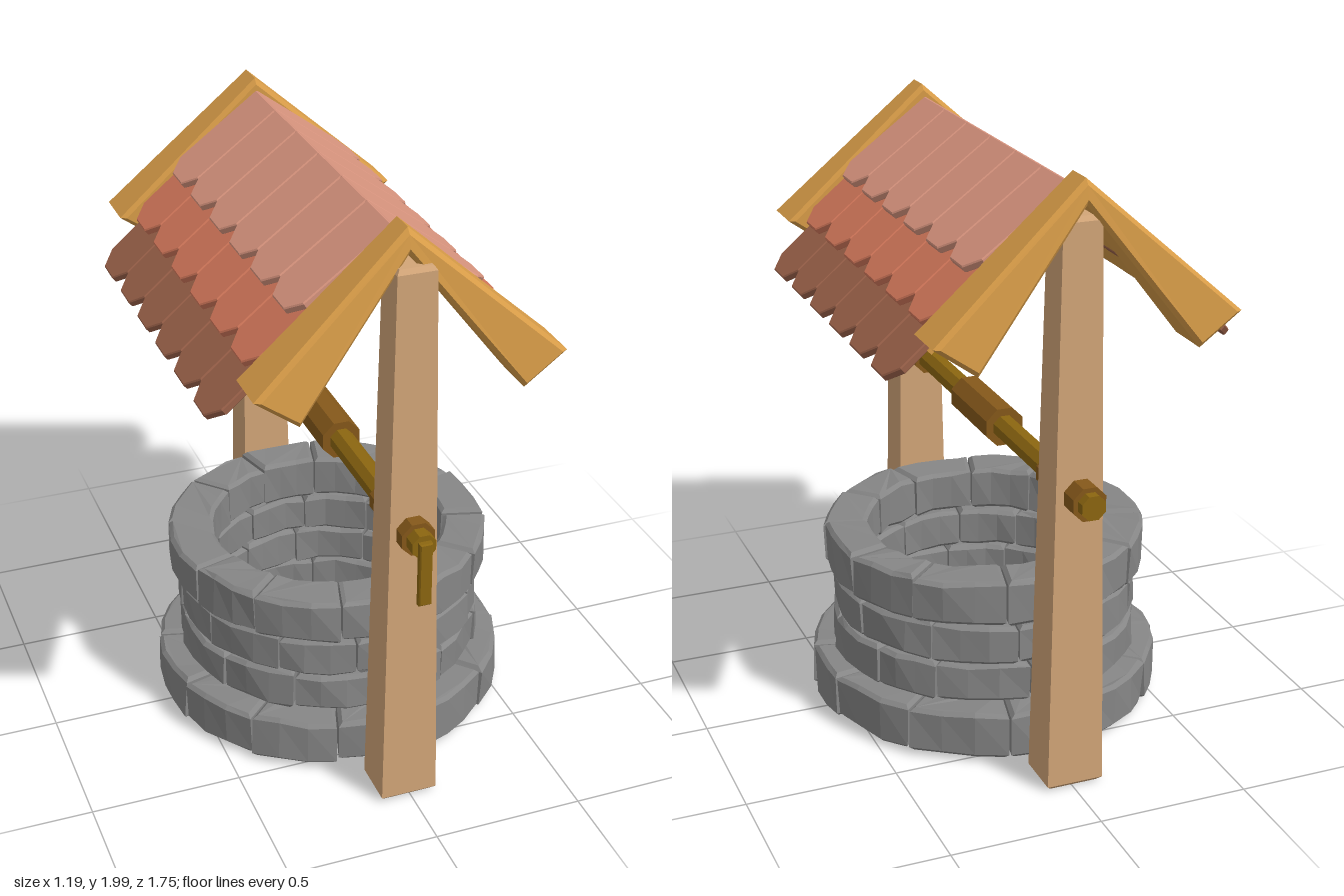
import * as THREE from 'three';

const CX = -0.02; // centre line of the roof
const mat = (color) => new THREE.MeshStandardMaterial({ color, flatShading: true });
const MATS = {
  stone: mat(0x868686), post: mat(0xd2a578), beam: mat(0xd89c48), axle: mat(0x8c6610),
  drum: mat(0x85581a), tiles: [mat(0xd8947e), mat(0xd2775a), mat(0x9c624a)],
};

// Small repeatable noise in -1..1
const noise = (a, b = 0, c = 0) => {
  const s = Math.sin(a * 127.1 + b * 311.7 + c * 74.7) * 43758.5453;
  return 2 * (s - Math.floor(s)) - 1;
};

function add(parent, name, geometry, material) {
  const mesh = new THREE.Mesh(geometry, material);
  mesh.name = name;
  parent.add(mesh);
  return mesh;
}

// Extruded outline with chamfered edges, staying inside the outline, z from 0 to depth
function chamfered(points, depth, bevel) {
  const shape = new THREE.Shape(points.map(([x, y]) => new THREE.Vector2(x, y)));
  return new THREE.ExtrudeGeometry(shape, {
    depth: depth - 2 * bevel, bevelEnabled: true, bevelSegments: 1,
    bevelSize: bevel, bevelThickness: bevel, bevelOffset: -bevel,
  }).translate(0, 0, bevel);
}

// Move every vertex by a rule
function warp(geometry, rule) {
  const p = geometry.attributes.position;
  const v = new THREE.Vector3();
  for (let i = 0; i < p.count; i++) {
    rule(v.fromBufferAttribute(p, i));
    p.setXYZ(i, v.x, v.y, v.z);
  }
  geometry.computeVertexNormals();
  return geometry;
}

// One curved block of a ring
function stone(a0, a1, inner, outer, y0, y1, seed) {
  const pts = [];
  const steps = 3;
  for (let i = 0; i <= steps; i++) {
    const a = a0 + (a1 - a0) * i / steps;
    pts.push([Math.cos(a) * outer, Math.sin(a) * outer]);
  }
  for (let i = steps; i >= 0; i--) {
    const a = a0 + (a1 - a0) * i / steps;
    pts.push([Math.cos(a) * inner, Math.sin(a) * inner]);
  }
  const g = chamfered(pts, y1 - y0, 0.013).rotateX(-Math.PI / 2).translate(0, y0, 0);
  // uneven hand-cut faces: shared by all vertices near the same corner
  return warp(g, (v) => {
    const k = Math.round(Math.atan2(v.z, v.x) * 9);
    const top = v.y > (y0 + y1) / 2 ? 1 : 0;
    const r = 1 + 0.012 * noise(k, top, seed);
    v.x *= r;
    v.z *= r;
    v.y += 0.006 * noise(k, top + 5, seed);
  });
}

function buildWall() {
  const wall = new THREE.Group();
  wall.name = 'stoneWall';
  // [bottom, top, inner radius, outer radius, turn]
  const rings = [
    [0.025, 0.185, 0.425, 0.59, 0],
    [0.19, 0.327, 0.41, 0.52, 0.16],
    [0.33, 0.465, 0.41, 0.515, 0.08],
    [0.482, 0.633, 0.395, 0.54, 0],
  ];
  const count = 12;
  rings.forEach(([y0, y1, inner, outer, turn], ring) => {
    const seam = (i) => ((i % count) === 0 && i ? Math.PI * 2 : 0)
      + ((i % count) + 0.5 + 0.12 * noise(i % count, ring)) * Math.PI * 2 / count + turn;
    for (let i = 0; i < count; i++) {
      const gap = 0.006;
      add(wall, 'wallStone', stone(seam(i) + gap, seam(i + 1) - gap, inner,
        outer + 0.008 * noise(i, ring, 3), y0, y1, ring * count + i), MATS.stone);
    }
  });
  return wall;
}

// Post tapering upward
function post(zBottom, zTop, name, group) {
  const h = 1.88;
  const g = chamfered([[-1, -1], [1, -1], [1, 1], [-1, 1]].map(([x, y]) => [x * 0.095, y * 0.08]), h, 0.015)
    .rotateX(-Math.PI / 2);
  warp(g, (v) => {
    const t = v.y / h;
    v.x = v.x * (1 - 0.34 * t) - 0.007;
    v.z = v.z * (1 - 0.28 * t) + zBottom + (zTop - zBottom) * t;
    v.y += 0.01;
  });
  add(group, name, g, MATS.post);
}

// Chevron-shaped end beam, thicker toward the eaves
function gable(inner, outerTop, outerLow, name, group) {
  const g = chamfered([[0, 2.0], [-0.493, 1.56], [-0.355, 1.46], [0, 1.92], [0.355, 1.46], [0.493, 1.56]], 1, 0.014);
  const sign = Math.sign(inner);
  warp(g, (v) => {
    const outer = outerTop + (outerLow - outerTop) * Math.min(1, (2 - v.y) / 0.46);
    const t = v.z < 0.5 ? v.z : 1 - (1 - v.z);
    const depth = Math.abs(outer - inner);
    // keep the chamfer at its true depth after scaling
    const d = t < 0.5 ? t : depth - (1 - t);
    v.z = sign > 0 ? inner + d : outer + d;
    v.x += CX;
  });
  add(group, name, g, MATS.beam);
}

function buildRoof() {
  const roof = new THREE.Group();
  roof.name = 'roof';
  gable(0.605, 0.715, 0.79, 'frontGable', roof);
  gable(-0.643, -0.765, -0.825, 'backGable', roof);

  // [top x, top y, tip x, tip y] measured out from the ridge
  const rows = [[0, 1.962, 0.322, 1.725], [0.19, 1.79, 0.455, 1.575], [0.3, 1.655, 0.575, 1.42]];
  const columns = 6, width = 0.2067, zStart = -0.645;
  // Frame on a slope: x along the ridge, y up the slope, z outward
  const place = (mesh, side, [x0, y0, x1, y1], z) => {
    const up = new THREE.Vector3(-side * (x1 - x0), y0 - y1, 0).normalize();
    const out = new THREE.Vector3(side * up.y, Math.abs(up.x), 0);
    const along = new THREE.Vector3().crossVectors(up, out);
    mesh.quaternion.setFromRotationMatrix(new THREE.Matrix4().makeBasis(along, up, out));
    mesh.position.set(CX + side * x1, y1, z);
  };
  for (const side of [-1, 1]) {
    rows.forEach((row, r) => {
      const len = Math.hypot(row[2] - row[0], row[3] - row[1]);
      const w = width / 2 - 0.0015;
      const outline = [[-0.05, 0], [0.05, 0], [w, 0.055], [w, len], [-w, len], [-w, 0.055]];
      const g = chamfered(outline, 0.026, 0.004).translate(0, 0, -0.026);
      for (let c = 0; c < columns; c++) {
        place(add(roof, 'roofTile', g, MATS.tiles[r]), side, row, zStart + (c + 0.5) * width);
      }
    });
    // Board under the tiles
    const line = [0, 1.945, 0.45, 1.5];
    const len = Math.hypot(0.45, 0.445);
    const board = new THREE.BoxGeometry(1.26, len, 0.018).translate(0, len / 2, -0.009);
    place(add(roof, 'roofBoard', board, MATS.beam), side, line, -0.02);
  }
  return roof;
}

function buildWinch() {
  const winch = new THREE.Group();
  winch.name = 'winch';
  winch.position.set(-0.01, 1.02, 0);
  const rod = (name, radius, z0, z1, material) => add(winch, name,
    new THREE.CylinderGeometry(radius, radius, z1 - z0, 8).rotateY(Math.PI / 8)
      .rotateX(Math.PI / 2).translate(0, 0, (z0 + z1) / 2), material);
  rod('axle', 0.042, -0.876, 0.858, MATS.axle);
  rod('drum', 0.069, -0.17, 0.155, MATS.drum);
  rod('frontSleeve', 0.058, 0.545, 0.812, MATS.drum);
  rod('backSleeve', 0.058, -0.845, -0.56, MATS.drum);
  // Crank hanging from the front end
  const crank = chamfered([[-0.021, -0.2], [0.021, -0.2], [0.021, 0.02], [-0.021, 0.02]], 0.024, 0.004);
  add(winch, 'crank', crank.translate(0, 0, 0.854), MATS.axle);
  return winch;
}

export function createModel() {
  const well = new THREE.Group();
  well.name = 'well';
  well.add(buildWall(), buildRoof(), buildWinch());
  post(0.702, 0.695, 'frontPost', well);
  post(-0.705, -0.71, 'backPost', well);
  return well;
}
